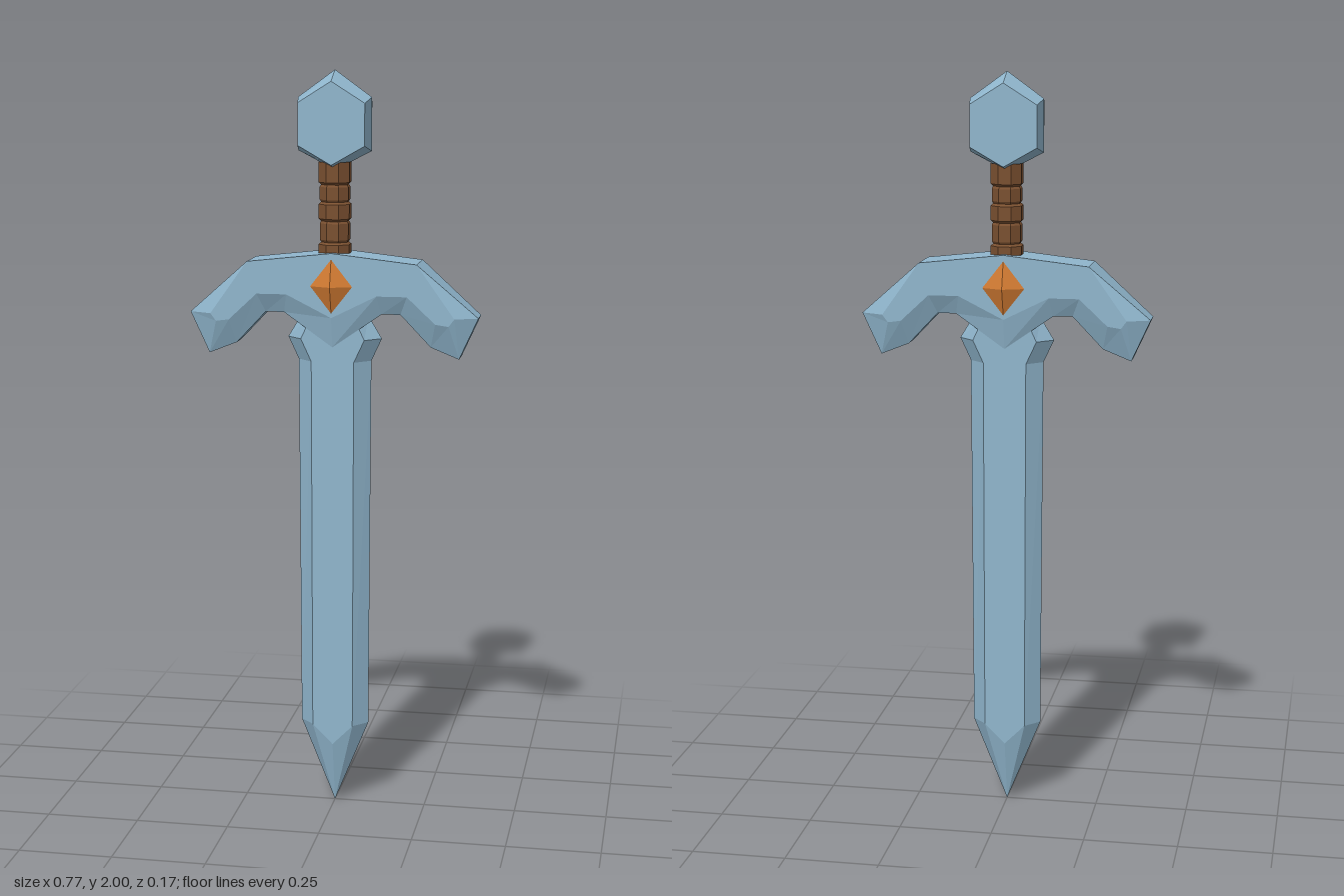
import * as THREE from 'three';

const material = (name, color, flatShading = true) => {
  const m = new THREE.MeshStandardMaterial({ color, flatShading });
  m.name = name;
  return m;
};

// Joins rings of points; each ring runs counter-clockwise seen from the last ring.
function loft(rings, capped) {
  const pos = [];
  const tri = (...pts) => pts.forEach((p) => pos.push(...p));
  for (let r = 0; r + 1 < rings.length; r++) {
    const a = rings[r], b = rings[r + 1], n = a.length;
    for (let i = 0; i < n; i++) {
      const j = (i + 1) % n;
      tri(a[i], a[j], b[j]);
      tri(a[i], b[j], b[i]);
    }
  }
  if (capped) {
    const first = rings[0], last = rings[rings.length - 1];
    const flat = last.map((p) => new THREE.Vector2(p[0], p[1]));
    for (const [a, b, c] of THREE.ShapeUtils.triangulateShape(flat, [])) {
      tri(last[a], last[b], last[c]);
      tri(first[c], first[b], first[a]);
    }
  }
  const geo = new THREE.BufferGeometry();
  geo.setAttribute('position', new THREE.Float32BufferAttribute(pos, 3));
  geo.computeVertexNormals();
  return geo;
}

// Bevelled slab, mirrored in x and z. Half outlines run from top centre to bottom centre.
function slab(face, rim) {
  const mirror = (half) => [
    ...half.slice().reverse(),
    ...half.slice(1, -1).map(([x, y, z]) => [-x, y, z]),
  ];
  const f = mirror(face), m = mirror(rim);
  // Put the seam on the left so the ring closes counter-clockwise
  const back = (ring) => ring.map(([x, y, z]) => [x, y, -z]);
  return loft([back(f), back(m), m, f], true);
}

export function createModel() {
  const model = new THREE.Group();
  model.name = 'sword';
  const steel = material('steel blue', 0x90b6cd);
  const leather = material('brown leather', 0x7a5030);
  const amber = material('amber', 0xd07a32);
  const add = (name, geo, mat) => {
    const mesh = new THREE.Mesh(geo, mat);
    mesh.name = name;
    model.add(mesh);
    return mesh;
  };

  // Blade: edge half-width, flat half-width, half-thickness; heights of edge and centre
  const section = (e, f, z, y, yc = y) => [
    [e, y, 0], [f, y, -z], [0, yc, -z], [-f, y, -z],
    [-e, y, 0], [-f, y, z], [0, yc, z], [f, y, z],
  ];
  add('blade', loft([
    section(0, 0, 0, 0),
    section(0.093, 0.055, 0.04, 0.23, 0.175),
    section(0.098, 0.057, 0.04, 1.24),
    section(0.126, 0.085, 0.04, 1.3),
    section(0.09, 0.057, 0.04, 1.36),
    section(0.09, 0.057, 0.04, 1.42),
  ], false), steel);

  // Crossguard with drooping, bevelled arms
  add('crossguard', slab(
    [[0, 1.53, 0.06], [0.225, 1.505, 0.06], [0.325, 1.365, 0.06], [0.31, 1.345, 0.06],
      [0.275, 1.35, 0.06], [0.2, 1.42, 0.06], [0.12, 1.42, 0.06], [0, 1.36, 0.06]],
    [[0, 1.53, 0.06], [0.225, 1.505, 0.06], [0.385, 1.365, 0.033], [0.335, 1.255, 0.03],
      [0.26, 1.285, 0.03], [0.18, 1.37, 0.035], [0.13, 1.37, 0.038], [0, 1.28, 0.043]],
  ), steel);

  // Pointed gem on each face of the guard
  for (const side of [1, -1]) {
    const geo = new THREE.ConeGeometry(1, 0.024, 4);
    geo.rotateX(side * Math.PI / 2);
    geo.scale(0.058, 0.074, 1);
    add(side > 0 ? 'frontGem' : 'backGem', geo, amber).position.set(0, 1.443, side * 0.071);
  }

  // Grip: wrapped bands parted by shallow grooves
  const profile = [];
  const bands = [1.52, 1.555, 1.61, 1.66, 1.705, 1.77];
  for (let i = 0; i + 1 < bands.length; i++) {
    const r = i % 2 ? 0.041 : 0.044;
    profile.push(
      new THREE.Vector2(0.037, bands[i]),
      new THREE.Vector2(r, bands[i] + 0.006),
      new THREE.Vector2(r, bands[i + 1] - 0.006),
    );
  }
  const grip = new THREE.LatheGeometry(profile, 8);
  grip.rotateY(Math.PI / 8);
  add('grip', grip, leather);

  // Hexagonal pommel, widest at its middle
  add('pommel', slab(
    [[0, 1.972, 0.06], [0.088, 1.917, 0.06], [0.088, 1.808, 0.06], [0, 1.758, 0.06]],
    [[0, 2, 0], [0.097, 1.93, 0], [0.097, 1.792, 0], [0, 1.742, 0]],
  ), steel);

  return model;
}
